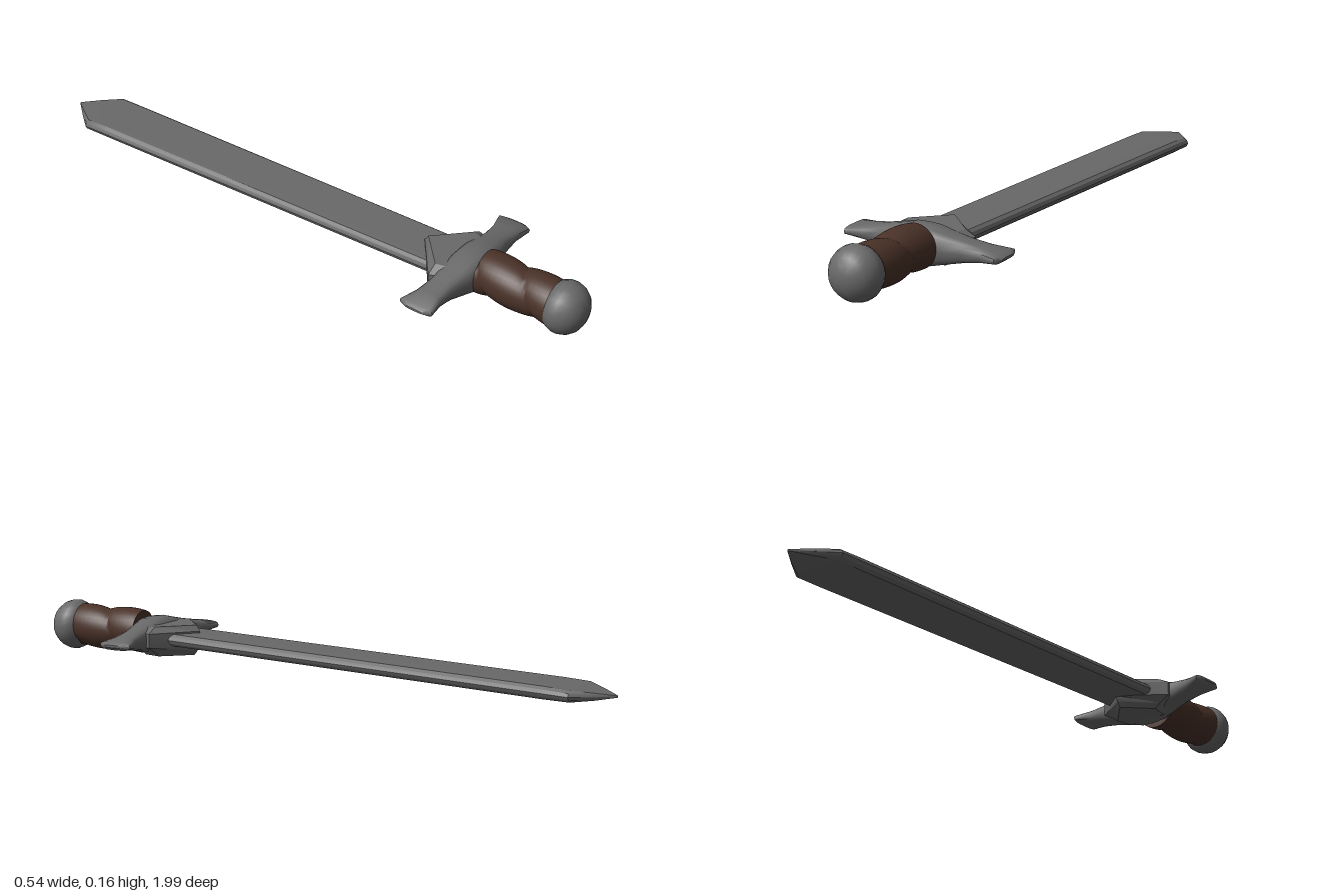
import * as THREE from 'three';
import { toCreasedNormals } from 'three/addons/utils/BufferGeometryUtils.js';

const steel = new THREE.MeshStandardMaterial({ color: 0x696969 });
steel.name = 'grey steel';
const leather = new THREE.MeshStandardMaterial({ color: 0x4a3228 });
leather.name = 'brown leather';

// Closed skin over rings of points; each ring runs counter-clockwise about the loft direction.
function loft(rings, crease) {
  const n = rings[0].length;
  const points = rings.flat();
  const index = [];
  for (let i = 0; i < rings.length - 1; i++) {
    for (let j = 0; j < n; j++) {
      const a = i * n + j, b = i * n + (j + 1) % n;
      index.push(a, b, a + n, b, b + n, a + n);
    }
  }
  const last = (rings.length - 1) * n;
  for (let j = 1; j < n - 1; j++) {
    index.push(0, j + 1, j, last, last + j, last + j + 1);
  }
  const geometry = new THREE.BufferGeometry();
  geometry.setAttribute('position', new THREE.Float32BufferAttribute(points.flat(), 3));
  geometry.setIndex(index);
  return toCreasedNormals(geometry, crease);
}

function addPart(group, name, geometry, material) {
  const mesh = new THREE.Mesh(geometry, material);
  mesh.name = name;
  group.add(mesh);
  return mesh;
}

// Blade: flat faces with narrow bevelled edges, sloping down to a pointed tip.
function bladeGeometry() {
  // z, centre height, half width, half thickness
  const stations = [
    [-0.995, 0.026, 0.003, 0.003],
    [-0.94, 0.027, 0.05, 0.012],
    [-0.88, 0.029, 0.098, 0.019],
    [-0.8, 0.032, 0.097, 0.021],
    [0.56, 0.078, 0.087, 0.021],
  ];
  const section = [[1, 0], [0.95, 0.55], [0.84, 0.92], [0, 1], [-0.84, 0.92], [-0.95, 0.55],
    [-1, 0], [-0.95, -0.55], [-0.84, -0.92], [0, -1], [0.84, -0.92], [0.95, -0.55]];
  return loft(stations.map(([z, y, w, t]) =>
    section.map(([px, py]) => [px * w - 0.003, y + py * t, z])), 0.5);
}

// Crossguard: thick in the middle, thinning to flared, rounded ends.
function guardGeometry() {
  // x, front z, back z, half height
  const half = [
    [0, 0.545, 0.662, 0.06],
    [0.04, 0.545, 0.66, 0.058],
    [0.08, 0.548, 0.65, 0.048],
    [0.14, 0.552, 0.635, 0.034],
    [0.2, 0.545, 0.632, 0.023],
    [0.258, 0.527, 0.642, 0.014],
    [0.272, 0.555, 0.618, 0.004],
  ];
  const mirrored = half.slice(1).reverse().map(([x, ...rest]) => [-x, ...rest]);
  return loft([...mirrored, ...half].map(([x, z0, z1, h]) => {
    const ring = [];
    for (let i = 0; i < 16; i++) {
      const a = (i / 16) * Math.PI * 2;
      const c = Math.cos(a), s = Math.sin(a);
      ring.push([
        x,
        0.077 + h * Math.sign(c) * Math.abs(c) ** 0.7,
        (z0 + z1) / 2 + ((z1 - z0) / 2) * Math.sign(s) * Math.abs(s) ** 0.7,
      ]);
    }
    return ring;
  }), 0.9);
}

// Collar: bevelled chevron block where the blade enters the guard.
function collarGeometry() {
  // height, half width, apex z
  const layers = [
    [0.02, 0.08, 0.455], [0.035, 0.1, 0.443], [0.055, 0.135, 0.436],
    [0.1, 0.135, 0.432], [0.119, 0.1, 0.445],
  ];
  return loft(layers.map(([y, w, apex]) => [
    [w * 0.85, y, 0.6], [w, y, 0.54], [0, y, apex], [-w, y, 0.54], [-w * 0.85, y, 0.6],
  ]), 0.4);
}

// Grip: cylinder with a spiral groove pressed into the leather wrap.
function gripGeometry() {
  const pitch = 0.16;
  const geometry = new THREE.CylinderGeometry(1, 1, 0.25, 32, 40);
  geometry.rotateX(Math.PI / 2);
  geometry.translate(0, 0, 0.775);
  const p = geometry.attributes.position;
  for (let i = 0; i < p.count; i++) {
    const x = p.getX(i), y = p.getY(i), z = p.getZ(i);
    const turn = Math.atan2(y, x) / (Math.PI * 2);
    const u = (z - 0.75) / pitch - turn;
    const r = 0.06 + 0.013 * Math.abs(Math.sin(Math.PI * u)) ** 0.6;
    p.setXYZ(i, x * r, 0.084 + y * r, z);
  }
  return toCreasedNormals(geometry, 0.9);
}

// Pommel: flattened ball, cut off where it meets the grip.
function pommelGeometry() {
  const profile = [[0, 0.883], [0.058, 0.885], [0.074, 0.897], [0.082, 0.918], [0.082, 0.935],
    [0.075, 0.958], [0.06, 0.978], [0.038, 0.991], [0.018, 0.997], [0, 0.998]];
  const geometry = new THREE.LatheGeometry(profile.map(([r, z]) => new THREE.Vector2(r, z)), 24);
  geometry.rotateX(Math.PI / 2);
  geometry.translate(0, 0.085, 0);
  return toCreasedNormals(geometry, 0.9);
}

export function createModel() {
  const sword = new THREE.Group();
  sword.name = 'sword';
  addPart(sword, 'blade', bladeGeometry(), steel);
  addPart(sword, 'collar', collarGeometry(), steel);
  addPart(sword, 'crossguard', guardGeometry(), steel);
  addPart(sword, 'grip', gripGeometry(), leather);
  addPart(sword, 'pommel', pommelGeometry(), steel);
  return sword;
}
